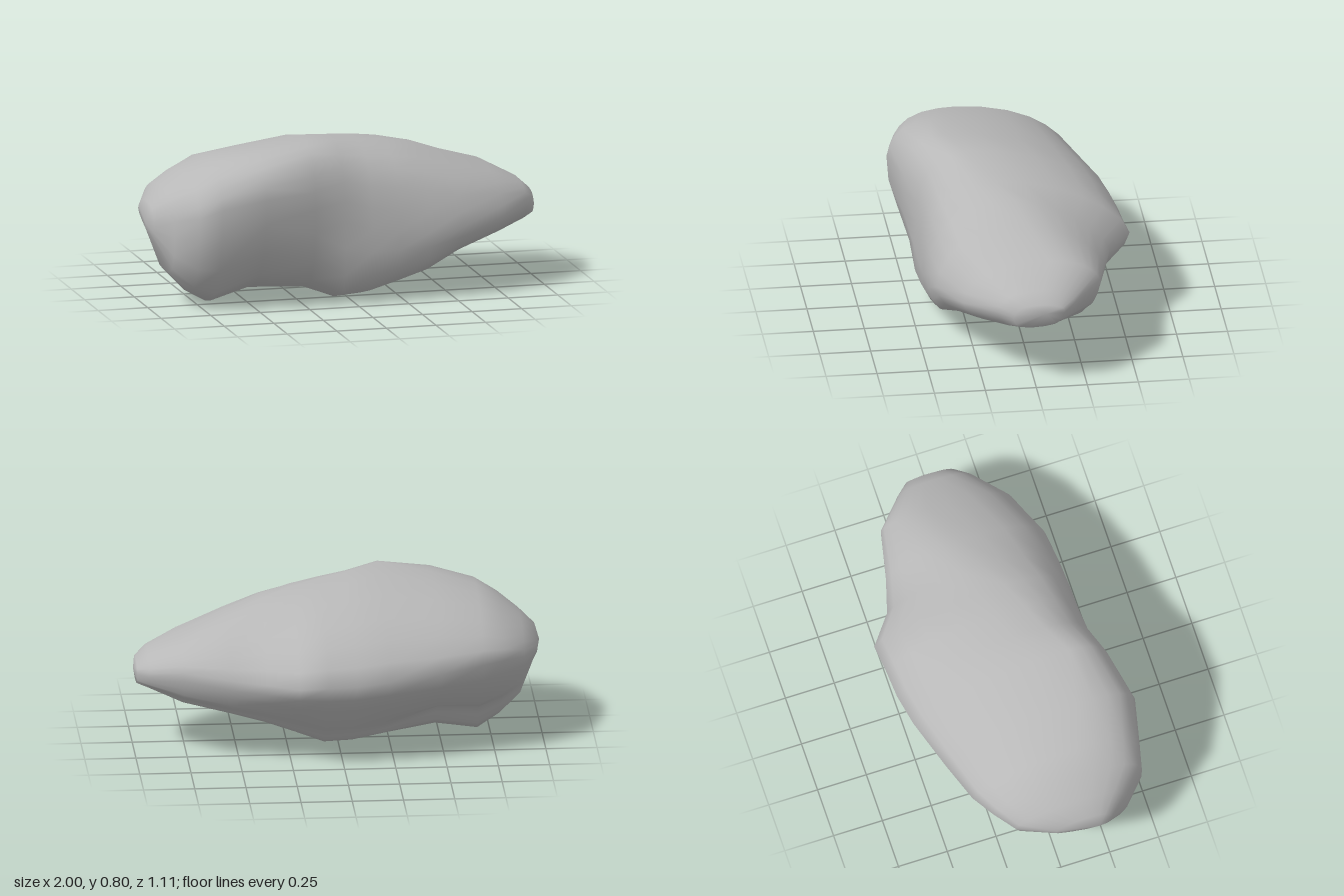
import * as THREE from 'three';

// Cross-sections along x: [x, back z,y, top z,y, front z,y, lower front z,y, lower back z,y]
const SECTIONS = [
  [-0.975, -0.02, 0.44, 0.14, 0.51, 0.27, 0.43, 0.25, 0.36, 0.14, 0.36],
  [-0.90, -0.20, 0.46, 0.12, 0.58, 0.37, 0.45, 0.34, 0.21, 0.10, 0.18],
  [-0.80, -0.28, 0.47, 0.14, 0.65, 0.48, 0.48, 0.39, 0.12, 0.10, 0.08],
  [-0.69, -0.35, 0.47, 0.18, 0.715, 0.505, 0.52, 0.37, 0.08, 0.09, 0.01],
  [-0.48, -0.42, 0.45, 0.25, 0.76, 0.55, 0.57, 0.42, 0.17, 0.04, 0.055],
  [-0.22, -0.50, 0.44, 0.30, 0.80, 0.50, 0.50, 0.41, 0.13, -0.10, 0.055],
  [-0.06, -0.53, 0.43, 0.22, 0.78, 0.46, 0.42, 0.415, 0.05, -0.18, 0.05],
  [0.08, -0.54, 0.43, 0.17, 0.765, 0.455, 0.37, 0.405, 0.06, -0.20, 0.05],
  [0.22, -0.555, 0.43, 0.11, 0.745, 0.455, 0.36, 0.40, 0.10, -0.22, 0.11],
  [0.37, -0.44, 0.42, 0.03, 0.715, 0.45, 0.34, 0.39, 0.145, -0.24, 0.17],
  [0.54, -0.39, 0.43, -0.02, 0.65, 0.43, 0.35, 0.35, 0.225, -0.26, 0.225],
  [0.77, -0.34, 0.46, -0.10, 0.57, 0.33, 0.37, 0.24, 0.28, -0.24, 0.28],
  [0.93, -0.20, 0.42, -0.04, 0.49, 0.18, 0.39, 0.13, 0.315, -0.12, 0.32],
];
const TIP = [0.985, -0.14, 0.41, -0.03, 0.44, 0.11, 0.38, 0.08, 0.33, -0.09, 0.335];
const RINGS = [...SECTIONS, TIP];
const AROUND = 27;

// Rounded rise that fades to zero at the given reach
const swell = (x, centre, reach) => {
  const t = Math.min(1, Math.abs(x - centre) / reach);
  return (1 - t * t) ** 2;
};

// Smooth closed ring: five given points, three shoulders and an underside hollow
function ring([x, bz, by, tz, ty, fz, fy, lfz, lfy, lbz, lby]) {
  const shoulder = (sideZ, sideY, endZ, endY, fullness) => [
    endZ + (sideZ - endZ) * fullness,
    sideY + (endY - sideY) * fullness,
  ];
  const lowerBack = shoulder(bz, by, lbz, lby, 0.56 + 0.12 * THREE.MathUtils.smoothstep(x, 0.25, 0.55));
  const hollow = [
    lbz * 0.6 + lowerBack[0] * 0.4,
    lby * 0.6 + lowerBack[1] * 0.4 + 0.06 * swell(x, -0.6, 0.35),
  ];
  const points = [
    [bz, by],
    shoulder(bz, by, tz, ty, 0.68 - 0.06 * swell(x, 0.4, 0.3)),
    [tz, ty],
    shoulder(fz, fy, tz, ty, 0.74),
    [fz, fy],
    [lfz, lfy],
    [lbz, lby],
    hollow,
    lowerBack,
  ].map(([z, y]) => new THREE.Vector3(x, y, z));
  const curve = new THREE.CatmullRomCurve3(points, true, 'centripetal');
  return Array.from({ length: AROUND }, (_, j) => {
    const p = curve.getPoint(j / AROUND);
    p.y = Math.max(p.y, 0);
    return p;
  });
}

function rockGeometry() {
  const vertices = RINGS.flatMap(ring);
  const index = [];
  const last = (RINGS.length - 1) * AROUND;
  // Skin between neighbouring rings
  for (let i = 0; i < last; i += AROUND) {
    for (let j = 0; j < AROUND; j++) {
      const a = i + j;
      const c = i + (j + 1) % AROUND;
      index.push(a, c, a + AROUND, c, c + AROUND, a + AROUND);
    }
  }
  // Blunt points closing both ends
  const start = vertices.push(new THREE.Vector3(-1, 0.42, 0.2)) - 1;
  const end = vertices.push(new THREE.Vector3(1, 0.40, -0.05)) - 1;
  for (let j = 0; j < AROUND; j++) {
    const k = (j + 1) % AROUND;
    index.push(start, k, j, end, last + j, last + k);
  }
  const geometry = new THREE.BufferGeometry().setFromPoints(vertices);
  geometry.setIndex(index);
  geometry.computeVertexNormals();
  return geometry;
}

export function createModel() {
  const stone = new THREE.MeshStandardMaterial({ color: 0xb8b8b8 });
  stone.name = 'stoneGrey';
  const rock = new THREE.Mesh(rockGeometry(), stone);
  rock.name = 'rock';
  const model = new THREE.Group();
  model.name = 'boulder';
  model.add(rock);
  return model;
}
